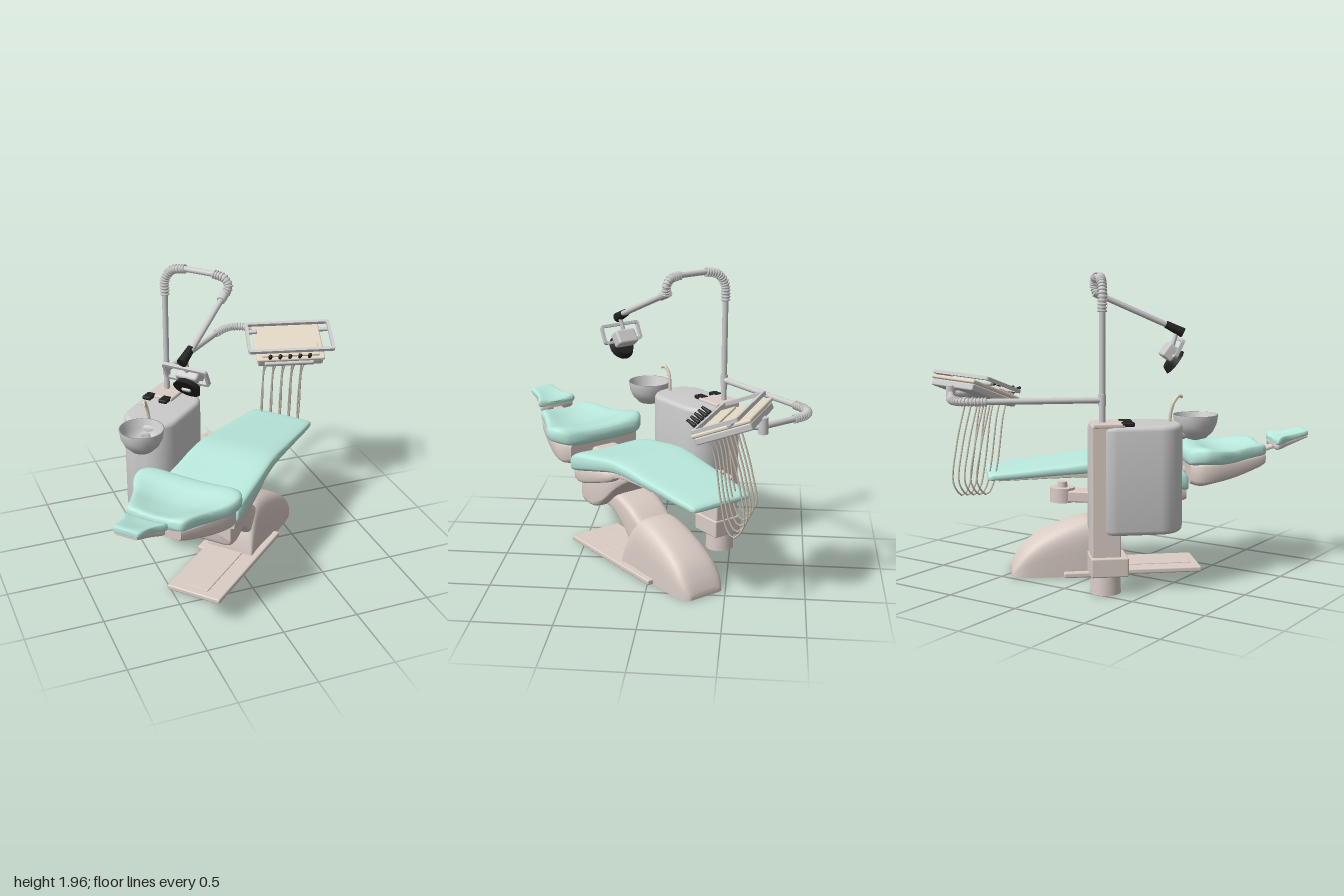
import * as THREE from 'three';
import { toCreasedNormals } from 'three/addons/utils/BufferGeometryUtils.js';
import { RoundedBoxGeometry } from 'three/addons/geometries/RoundedBoxGeometry.js';

const mat = (color) => new THREE.MeshStandardMaterial({ color, side: THREE.DoubleSide });
const mint = mat(0xb9e8dc), shell = mat(0xdacdc5), grey = mat(0xcccccc);
const cream = mat(0xe2d7c3), black = mat(0x222222), hoseMat = mat(0xc9c0b0);
const V = (x, y, z) => new THREE.Vector3(x, y, z);

function add(parent, name, geo, material, x = 0, y = 0, z = 0) {
  const m = new THREE.Mesh(geo, material);
  m.name = name;
  m.position.set(x, y, z);
  parent.add(m);
  return m;
}
const box = (w, h, d, r = 0.01) => new RoundedBoxGeometry(w, h, d, 2, r);
const cyl = (r1, r2, h, n = 28) => new THREE.CylinderGeometry(r1, r2, h, n);

// Straight round bar between two points
function rod(parent, name, a, b, r1, r2 = r1, material = grey) {
  const m = add(parent, name, cyl(r2, r1, a.distanceTo(b), 18), material);
  m.position.copy(a).lerp(b, 0.5);
  m.quaternion.setFromUnitVectors(V(0, 1, 0), b.clone().sub(a).normalize());
}
const tube = (parent, name, pts, r, material, seg, sides = 8) =>
  add(parent, name, new THREE.TubeGeometry(new THREE.CatmullRomCurve3(pts), seg, r, sides), material);

// Bellows: a tube with evenly spaced ribs
function bellows(parent, name, pts, r, count) {
  const g = new THREE.Group();
  g.name = name;
  parent.add(g);
  const curve = new THREE.CatmullRomCurve3(pts);
  add(g, 'core', new THREE.TubeGeometry(curve, 24, r, 14), grey);
  for (let i = 0; i <= count; i++) {
    const rib = add(g, 'rib', new THREE.TorusGeometry(r, r * 0.3, 6, 16), grey);
    rib.position.copy(curve.getPointAt(i / count));
    rib.quaternion.setFromUnitVectors(V(0, 0, 1), curve.getTangentAt(i / count));
  }
}

// Lofted body along x; sections are [x, halfWidth, yBottom, yTop, dip of the top centre]
function loft(sections, { e = 0.4, flat = false, sub = 4, n = 36 } = {}) {
  const full = sections.map(([x, w, y0, y1, dip = 0]) => [x, w, y0, y1, dip]);
  const rows = [], k = full.length - 1;
  const spline = (a, b, c, d, t) => b + 0.5 * t * (c - a + t * (2 * a - 5 * b + 4 * c - d + t * (3 * (b - c) + d - a)));
  for (let i = 0; i < k; i++) for (let j = 0; j < sub; j++) {
    const [a, b, c, d] = [Math.max(i - 1, 0), i, i + 1, Math.min(i + 2, k)].map((q) => full[q]);
    rows.push(b.map((v, q) => spline(a[q], v, c[q], d[q], j / sub)));
  }
  rows.push(full[k]);
  const pos = [], idx = [], pw = (v) => Math.sign(v) * Math.abs(v) ** e;
  for (const [x, w, y0, y1, dip] of rows) for (let i = 0; i < n; i++) {
    const a = (i / n) * Math.PI * 2, c = pw(Math.cos(a)), s = pw(Math.sin(a));
    const y = flat ? y0 + (y1 - y0) * Math.max(s, 0) : (y0 + y1) / 2 + ((y1 - y0) / 2) * s;
    pos.push(x, y - (s > 0 ? dip * s * (1 - c * c) : 0), w * c);
  }
  for (let r = 0; r < rows.length - 1; r++) for (let i = 0; i < n; i++) {
    const a = r * n + i, b = r * n + ((i + 1) % n);
    idx.push(a, a + n, b, a + n, b + n, b);
  }
  for (const r of [0, rows.length - 1]) {
    const c = pos.length / 3, [x, , y0, y1, dip] = rows[r];
    pos.push(x, (y0 + y1 - dip) / 2, 0);
    for (let i = 0; i < n; i++) {
      const a = r * n + i, b = r * n + ((i + 1) % n);
      idx.push(c, ...(r ? [b, a] : [a, b]));
    }
  }
  const g = new THREE.BufferGeometry();
  g.setAttribute('position', new THREE.Float32BufferAttribute(pos, 3));
  g.setIndex(idx);
  return toCreasedNormals(g, 0.7);
}

function roundRect(w, h, r, target = new THREE.Shape()) {
  const x = w / 2 - r, y = h / 2 - r, q = Math.PI / 2;
  target.absarc(x, y, r, 0, q);
  target.absarc(-x, y, r, q, 2 * q);
  target.absarc(-x, -y, r, 2 * q, 3 * q);
  target.absarc(x, -y, r, 3 * q, 4 * q);
  return target;
}
// Rectangular handle frame in the xy plane
function frame(w, h, t, depth) {
  const s = roundRect(w, h, 0.02);
  s.holes.push(roundRect(w - 2 * t, h - 2 * t, 0.01, new THREE.Path()));
  return new THREE.ExtrudeGeometry(s, { depth, bevelEnabled: false, curveSegments: 5 }).translate(0, 0, -depth / 2);
}

function buildChair(g) {
  // Floor plate, pedestal and lifting arm
  add(g, 'floorPlate', box(0.77, 0.035, 0.38), shell, -0.215, 0.018, 0.02);
  add(g, 'floorPlateRib', box(0.5, 0.012, 0.16, 0.005), shell, -0.3, 0.036, 0.02);
  add(g, 'pedestalFlange', box(0.42, 0.035, 0.42), shell, 0.1, 0.018, 0);
  add(g, 'pedestal', loft([[-0.05, 0.165, 0, 0.05], [-0.03, 0.17, 0, 0.16], [0.03, 0.165, 0, 0.3], [0.1, 0.165, 0, 0.362],
    [0.22, 0.17, 0, 0.35], [0.4, 0.17, 0, 0.28], [0.53, 0.165, 0, 0.195], [0.6, 0.15, 0, 0.11], [0.635, 0.125, 0, 0.04],
    [0.64, 0.11, 0, 0.01]], { flat: true, e: 0.45 }), shell);
  add(g, 'liftArm', loft([[-0.38, 0.13, 0.35, 0.47], [-0.2, 0.14, 0.33, 0.47], [-0.08, 0.14, 0.25, 0.445],
    [0.03, 0.14, 0.13, 0.395], [0.13, 0.13, 0.05, 0.32]], { e: 0.35 }), shell);
  // Seat with its two stepped shells
  add(g, 'seatCushion', loft([[-0.485, 0.26, 0.58, 0.63], [-0.475, 0.285, 0.56, 0.68, 0.01], [-0.4, 0.292, 0.572, 0.718, 0.02],
    [-0.2, 0.288, 0.625, 0.75, 0.015], [0.04, 0.275, 0.68, 0.776, 0.005], [0.3, 0.258, 0.675, 0.75, 0.003],
    [0.6, 0.238, 0.655, 0.715], [0.74, 0.226, 0.647, 0.7], [0.78, 0.215, 0.65, 0.685], [0.788, 0.2, 0.658, 0.67]]), mint);
  add(g, 'seatShell', loft([[-0.475, 0.255, 0.5, 0.6], [-0.38, 0.265, 0.49, 0.62], [-0.1, 0.25, 0.58, 0.66],
    [0.1, 0.24, 0.655, 0.7], [0.72, 0.2, 0.642, 0.67]], { e: 0.3 }), shell);
  add(g, 'seatUnderShell', loft([[-0.452, 0.215, 0.37, 0.55], [-0.43, 0.215, 0.342, 0.57], [-0.33, 0.21, 0.332, 0.58],
    [-0.22, 0.205, 0.395, 0.6], [-0.06, 0.2, 0.54, 0.65], [0.13, 0.19, 0.66, 0.69]], { e: 0.22, sub: 3 }), shell);
  // Backrest
  add(g, 'backrestCushion', loft([[-1.02, 0.16, 0.775, 0.805], [-1.0, 0.195, 0.755, 0.855, 0.03], [-0.9, 0.23, 0.735, 0.86, 0.06],
    [-0.78, 0.285, 0.72, 0.845, 0.06], [-0.68, 0.345, 0.72, 0.855, 0.06], [-0.6, 0.362, 0.725, 0.868, 0.05],
    [-0.54, 0.335, 0.72, 0.862, 0.04], [-0.5, 0.295, 0.72, 0.83, 0.02], [-0.485, 0.25, 0.74, 0.785]], { e: 0.5 }), mint);
  add(g, 'backrestShell', loft([[-1.015, 0.18, 0.71, 0.785], [-0.97, 0.2, 0.685, 0.78], [-0.8, 0.26, 0.63, 0.765],
    [-0.65, 0.305, 0.6, 0.76], [-0.56, 0.305, 0.585, 0.76], [-0.5, 0.265, 0.6, 0.75]], { e: 0.35 }), shell);
  add(g, 'backrestHinge', box(0.1, 0.08, 0.2, 0.03), shell, -0.47, 0.65, 0);
  // Headrest
  add(g, 'headrestBar', box(0.26, 0.025, 0.075), shell, -1.06, 0.785, 0).rotation.z = -0.3;
  add(g, 'headrestCushion', loft([[-1.33, 0.065, 0.88, 0.895], [-1.315, 0.09, 0.872, 0.915], [-1.2, 0.102, 0.838, 0.898, 0.02],
    [-1.12, 0.148, 0.82, 0.888, 0.025], [-1.1, 0.13, 0.825, 0.855]], { e: 0.45 }), mint);
  add(g, 'headrestShell', loft([[-1.325, 0.075, 0.86, 0.885], [-1.2, 0.095, 0.812, 0.86], [-1.12, 0.13, 0.787, 0.845],
    [-1.1, 0.115, 0.795, 0.83]]), shell);
}

function buildUnit(g) {
  // Rounded cabinet beside the chair
  const cab = new THREE.ExtrudeGeometry(roundRect(0.52, 0.31, 0.13), {
    depth: 0.61, bevelThickness: 0.03, bevelSize: 0.03, bevelSegments: 4, curveSegments: 12 });
  add(g, 'cabinet', toCreasedNormals(cab.rotateX(-Math.PI / 2), 0.6), grey, -0.105, 0.4, -0.46);
  // Column, foot and top plate
  add(g, 'column', box(0.18, 0.84, 0.18), shell, 0.093, 0.63, -0.537);
  add(g, 'columnFootBox', box(0.23, 0.12, 0.22), shell, 0.075, 0.18, -0.545);
  add(g, 'columnFoot', cyl(0.09, 0.095, 0.12), shell, 0.09, 0.065, -0.55);
  add(g, 'topPlate', box(0.2, 0.03, 0.19), shell, 0.075, 1.045, -0.535);
  for (const z of [-0.6, -0.48]) add(g, 'switchPad', box(0.08, 0.025, 0.06, 0.008), black, -0.04, 1.052, z);
  // Swing bracket carrying a round cap
  add(g, 'bracketDisc', cyl(0.078, 0.078, 0.09, 32), shell, 0.333, 0.585, -0.345);
  add(g, 'bracketKnob', cyl(0.03, 0.032, 0.04), shell, 0.333, 0.645, -0.345);
  add(g, 'bracketArm', box(0.25, 0.07, 0.13), shell, 0.21, 0.58, -0.38).rotation.y = -0.3;
}

function buildLamp(g) {
  add(g, 'lampFrame', frame(0.3, 0.13, 0.018, 0.022), grey, 0, 0.07, 0);
  // Lamp head, tipped further down than its handle frame
  const head = new THREE.Group();
  head.name = 'lampHead';
  head.rotation.x = 0.2;
  g.add(head);
  add(head, 'lampHousing', box(0.15, 0.1, 0.08, 0.015), grey, 0, 0.02, -0.03);
  add(head, 'reflector', cyl(0.088, 0.07, 0.04, 32).rotateX(Math.PI / 2), black, 0, -0.01, 0.025);
  add(head, 'bulbGuard', box(0.06, 0.025, 0.02, 0.008), grey, 0, -0.01, 0.05);
}

function buildTray(g) {
  add(g, 'trayBase', box(0.45, 0.045, 0.36), grey, 0, -0.025, 0);
  add(g, 'trayTop', box(0.47, 0.025, 0.38), cream, 0, 0.01, 0);
  add(g, 'controlPanel', box(0.4, 0.02, 0.13, 0.006), cream, 0, 0.025, 0.1);
  add(g, 'trayHandle', frame(0.6, 0.29, 0.022, 0.022).rotateX(Math.PI / 2), grey, 0.01, 0.05, 0);
  for (const x of [-0.24, 0.26]) add(g, 'handleBracket', box(0.07, 0.025, 0.03), grey, x, 0.03, -0.08);
  add(g, 'toolRail', box(0.34, 0.03, 0.04), grey, -0.01, -0.02, 0.18);
  for (let i = 0; i < 5; i++) {
    const x = -0.145 + i * 0.068;
    rod(g, 'toolHandle', V(x, -0.04, 0.15), V(x, 0.05, 0.185), 0.01, 0.012, black);
    rod(g, 'toolTip', V(x, 0.05, 0.185), V(x - 0.012, 0.095, 0.225), 0.014, 0.008, black);
  }
}

export function createModel() {
  const root = new THREE.Group();
  root.name = 'dentalUnit';
  const sub = (name, parent, x, y, z, rx, ry) => {
    const g = new THREE.Group();
    g.name = name;
    g.position.set(x, y, z);
    g.rotation.set(rx, ry, 0, 'YXZ');
    parent.add(g);
    return g;
  };
  const chair = sub('chair', root, 0.038, 0, 0.043, 0, 0.727);
  buildChair(chair);
  buildUnit(sub('serviceUnit', chair, 0, 0, 0, 0, 0));
  buildLamp(sub('lamp', chair, -0.395, 1.41, -0.1, 0.45, -Math.PI / 2));
  buildTray(sub('tray', root, 0.67, 1.215, -0.535, 0.38, -0.26));

  // Lamp pole with two bellows and a drooping arm
  rod(root, 'pole', V(-0.245, 1.04, -0.44), V(-0.245, 1.74, -0.44), 0.019);
  bellows(root, 'poleBellows', [V(-0.245, 1.73, -0.44), V(-0.243, 1.83, -0.435), V(-0.21, 1.9, -0.395), V(-0.15, 1.925, -0.32)], 0.024, 14);
  rod(root, 'topBar', V(-0.15, 1.925, -0.32), V(-0.01, 1.925, -0.16), 0.018);
  bellows(root, 'armBellows', [V(-0.01, 1.925, -0.16), V(0.035, 1.91, -0.11), V(0.055, 1.865, -0.085), V(0.035, 1.815, -0.085)], 0.023, 10);
  rod(root, 'armCollar', V(0.045, 1.825, -0.1), V(-0.01, 1.79, -0.045), 0.027);
  rod(root, 'lampArm', V(0.03, 1.815, -0.085), V(-0.31, 1.61, 0.23), 0.019);
  rod(root, 'lampJoint', V(-0.3, 1.62, 0.21), V(-0.385, 1.565, 0.28), 0.024, 0.032, black);
  rod(root, 'lampYoke', V(-0.35, 1.575, 0.26), V(-0.33, 1.44, 0.22), 0.014);

  // Tray arm swinging round behind the chair
  rod(root, 'trayArmCollar', V(-0.245, 1.16, -0.44), V(-0.245, 1.23, -0.44), 0.024);
  rod(root, 'trayArm', V(-0.245, 1.195, -0.44), V(0.28, 1.195, -0.9), 0.019);
  bellows(root, 'trayArmBellows', [V(0.28, 1.195, -0.9), V(0.36, 1.195, -0.955), V(0.43, 1.195, -0.97), V(0.5, 1.195, -0.945), V(0.56, 1.195, -0.89)], 0.022, 16);
  rod(root, 'trayArmEnd', V(0.56, 1.195, -0.89), V(0.72, 1.195, -0.71), 0.019);
  rod(root, 'trayPivot', V(0.72, 1.15, -0.71), V(0.72, 1.25, -0.71), 0.03);
  rod(root, 'trayStrut', V(0.72, 1.19, -0.71), V(0.68, 1.19, -0.56), 0.022);

  // Hoses hanging in loops under the tray
  for (let i = 0; i < 5; i++) {
    const x = 0.485 + i * 0.064, z = -0.49 + i * 0.017, low = 0.56 - i * 0.012;
    tube(root, 'hose', [V(x + 0.01, 1.15, z + 0.06), V(x - 0.005, 1.05, z), V(x + 0.005, 0.75, z - 0.05), V(x + 0.015, low + 0.05, z - 0.09),
      V(x + 0.03, low, z - 0.13), V(x + 0.055, low + 0.08, z - 0.19), V(x + 0.05, 0.85, z - 0.16), V(x + 0.03, 1.17, z - 0.07)], 0.006, hoseMat, 40, 6);
  }

  // Rinsing bowl with its spout
  const bowl = [[0.02, 0], [0.07, 0.015], [0.11, 0.055], [0.132, 0.1], [0.142, 0.16], [0.134, 0.16], [0.122, 0.1], [0.1, 0.06], [0.06, 0.025], [0, 0.02]];
  add(root, 'bowl', new THREE.LatheGeometry(bowl.map((p) => new THREE.Vector2(...p)), 40), grey, -0.59, 0.915, 0.09);
  add(root, 'bowlDrain', cyl(0.035, 0.035, 0.012), grey, -0.59, 0.942, 0.09);
  rod(root, 'bowlSupport', V(-0.55, 0.96, 0.02), V(-0.42, 0.96, -0.12), 0.035, 0.04);
  tube(root, 'spout', [V(-0.49, 1.0, -0.06), V(-0.5, 1.1, -0.06), V(-0.515, 1.16, -0.05), V(-0.535, 1.2, -0.02), V(-0.545, 1.19, 0)], 0.011, cream, 24);
  return root;
}
